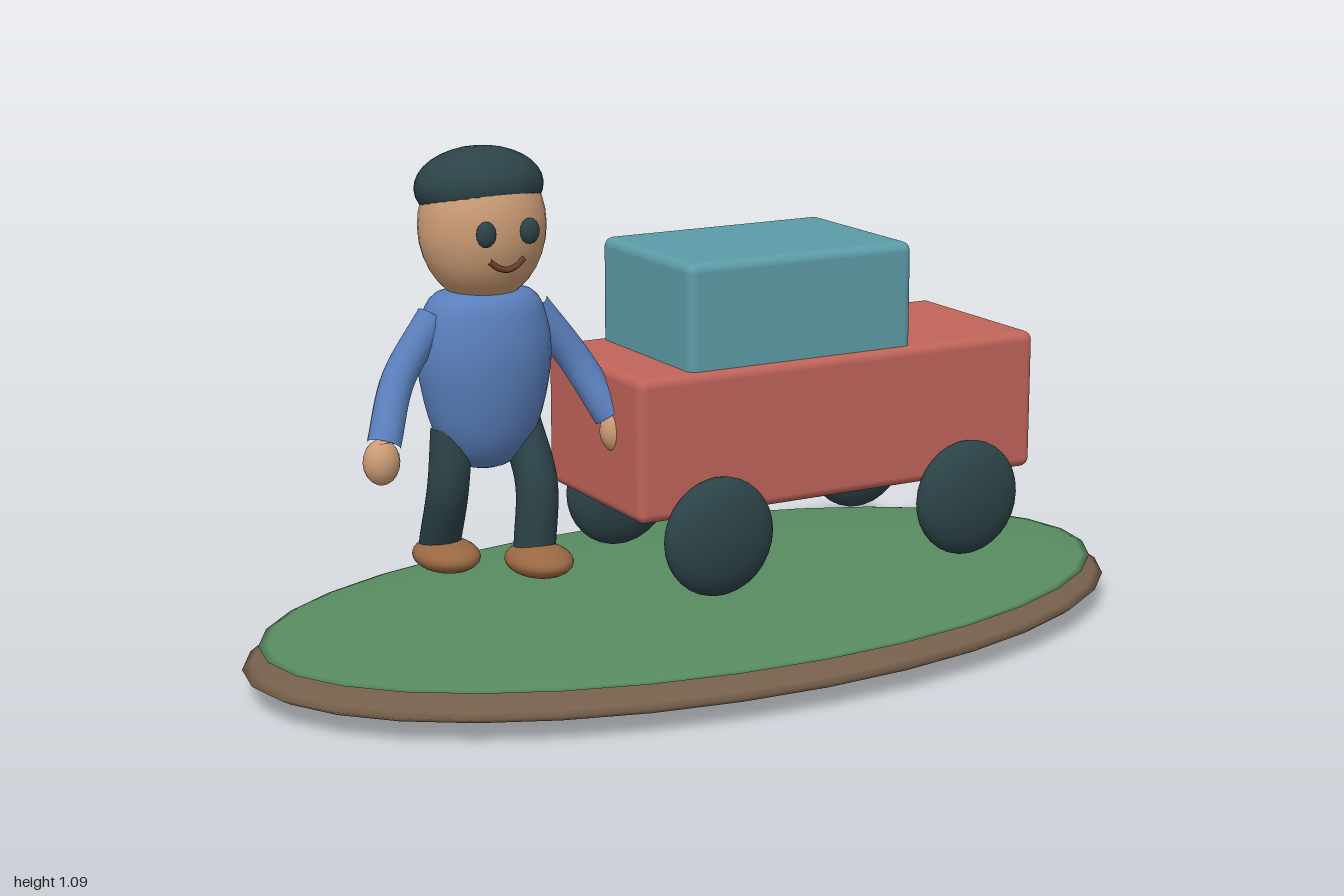
import * as THREE from 'three';
import { RoundedBoxGeometry } from 'three/addons/geometries/RoundedBoxGeometry.js';

const mat = (name, color) => {
  const m = new THREE.MeshStandardMaterial({ color });
  m.name = name;
  return m;
};

export function createModel() {
  const earth = mat('earth brown', 0x76604c);
  const grass = mat('grass green', 0x588c60);
  const red = mat('body red', 0xc0645a);
  const teal = mat('cabin teal', 0x5c9ca8);
  const dark = mat('dark slate', 0x2c4348);
  const skin = mat('skin', 0xcb9c75);
  const blue = mat('shirt blue', 0x5a7fbc);
  const leather = mat('shoe brown', 0x9a6842);
  const lip = mat('mouth brown', 0x6a3f2c);

  const model = new THREE.Group();
  model.name = 'walkerAndCart';

  const add = (parent, name, geometry, material, x = 0, y = 0, z = 0) => {
    const mesh = new THREE.Mesh(geometry, material);
    mesh.name = name;
    mesh.position.set(x, y, z);
    parent.add(mesh);
    return mesh;
  };
  const ellipsoid = (parent, name, material, [x, y, z], [rx, ry, rz], seg = 32) =>
    add(parent, name, new THREE.SphereGeometry(1, seg, seg / 2).scale(rx, ry, rz), material, x, y, z);
  const box = (parent, name, material, [x, y, z], [w, h, d]) =>
    add(parent, name, new RoundedBoxGeometry(w, h, d, 4, 0.02), material, x, y, z);

  // Limb: tube through a few points, with flat closed ends
  const limb = (parent, name, material, points, radius) => {
    const curve = new THREE.CatmullRomCurve3(points.map((p) => new THREE.Vector3(...p)));
    const group = new THREE.Group();
    group.name = name;
    parent.add(group);
    add(group, name + 'Tube', new THREE.TubeGeometry(curve, 16, radius, 14), material);
    for (const t of [0, 1]) {
      const p = curve.getPoint(t);
      const dir = curve.getTangent(t).multiplyScalar(t ? 1 : -1);
      const cap = add(group, name + 'End', new THREE.CircleGeometry(radius, 14), material, p.x, p.y, p.z);
      cap.lookAt(p.clone().add(dir));
    }
  };

  // Ground: shallow soil disc with a grass layer on top
  ellipsoid(model, 'soil', earth, [0, 0.06, 0], [1, 0.055, 0.545]);
  ellipsoid(model, 'grass', grass, [0, 0.104, 0], [0.965, 0.018, 0.525]);

  // Vehicle
  const car = new THREE.Group();
  car.name = 'car';
  model.add(car);
  box(car, 'carBody', red, [0.24, 0.48, 0], [0.965, 0.3, 0.41]);
  box(car, 'cabin', teal, [0.148, 0.725, 0], [0.535, 0.25, 0.38]);
  for (const x of [-0.067, 0.545])
    for (const z of [-0.217, 0.217])
      ellipsoid(car, 'wheel', dark, [x, 0.288, z], [0.125, 0.125, 0.051]);

  // Figure, mid-stride, built around its own x = 0
  const figure = new THREE.Group();
  figure.name = 'figure';
  figure.position.x = -0.485;
  model.add(figure);

  // Torso: egg-shaped profile with a flatter shoulder
  const profile = new THREE.SplineCurve([
    [0.0001, 0.438], [0.06, 0.456], [0.11, 0.525], [0.139, 0.65],
    [0.132, 0.74], [0.1, 0.8], [0.0001, 0.815],
  ].map((p) => new THREE.Vector2(...p))).getPoints(24);
  add(figure, 'torso', new THREE.LatheGeometry(profile, 32).scale(1, 1, 0.78), blue);

  // Head, cap and face
  ellipsoid(figure, 'head', skin, [0, 0.935, 0], [0.13, 0.155, 0.12]);
  const cap = ellipsoid(figure, 'cap', dark, [0, 1.012, -0.012], [0.131, 0.08, 0.118]);
  cap.rotation.x = -0.12;
  for (const s of [-1, 1])
    ellipsoid(figure, 'eye', dark, [s * 0.047, 0.937, 0.118], [0.021, 0.026, 0.013], 16);
  const smile = new THREE.CatmullRomCurve3([
    [-0.037, 0.882, 0.11], [-0.019, 0.868, 0.112], [0, 0.863, 0.113],
    [0.019, 0.868, 0.112], [0.037, 0.882, 0.11],
  ].map((p) => new THREE.Vector3(...p)));
  add(figure, 'mouth', new THREE.TubeGeometry(smile, 16, 0.006, 8), lip);

  for (const s of [-1, 1]) {
    const side = s > 0 ? 'left' : 'right';
    // Arm and hand
    limb(figure, side + 'Arm', blue,
      [[s * 0.11, 0.76, 0], [s * 0.195, 0.645, 0.015], [s * 0.25, 0.53, 0.065]], 0.034);
    ellipsoid(figure, side + 'Hand', skin, [s * 0.26, 0.5, 0.075], [0.037, 0.046, 0.035], 20);
    // Leg and shoe: left steps forward, right trails
    const ankleZ = s > 0 ? 0.06 : -0.065;
    limb(figure, side + 'Leg', dark,
      [[s * 0.075, 0.53, 0], [s * 0.085, 0.41, s > 0 ? 0.055 : 0], [s * 0.077, 0.275, ankleZ]], 0.043);
    ellipsoid(figure, side + 'Shoe', leather,
      [s * 0.074, 0.256, s > 0 ? 0.085 : -0.04], [0.066, 0.033, 0.087], 24);
  }

  return model;
}
